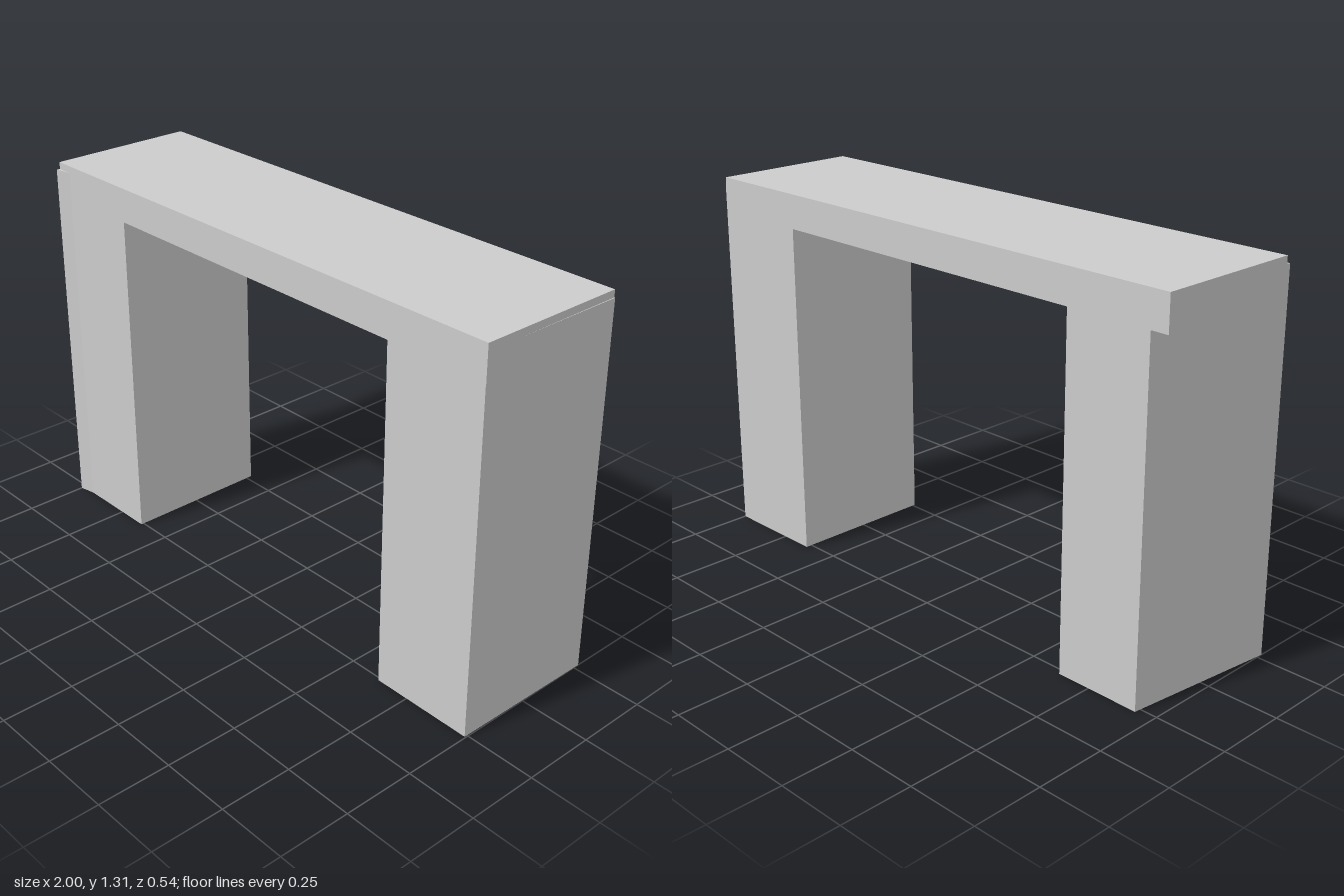
import * as THREE from 'three';

const material = new THREE.MeshStandardMaterial({ color: 0xcccccc, flatShading: true });

// Upright prism from a plan outline given as [x, z] corners
function prism(name, outline, bottom, top) {
  const shape = new THREE.Shape(outline.map(([x, z]) => new THREE.Vector2(x, -z)));
  const geometry = new THREE.ExtrudeGeometry(shape, { depth: top - bottom, bevelEnabled: false });
  geometry.rotateX(-Math.PI / 2);
  geometry.translate(0, bottom, 0);
  const mesh = new THREE.Mesh(geometry, material);
  mesh.name = name;
  return mesh;
}

export function createModel() {
  const model = new THREE.Group();
  model.name = 'archway';
  const back = -0.272, front = 0.26;

  // Flat lintel across both legs
  model.add(prism('lintel', [[-0.998, back], [0.997, back], [0.997, front], [-0.998, front]], 1.19, 1.31));

  // Leg with a slanted outer face and a small flare at the front corner
  model.add(prism('rightLeg', [
    [-0.63, back], [-0.936, back], [-1, 0.272], [-0.94, front], [-0.63, front],
  ], 0, 1.285));

  // Leg with a nearly square outer face
  model.add(prism('leftLeg', [
    [0.625, back], [1, back], [0.996, front], [0.625, front],
  ], 0, 1.285));

  return model;
}
